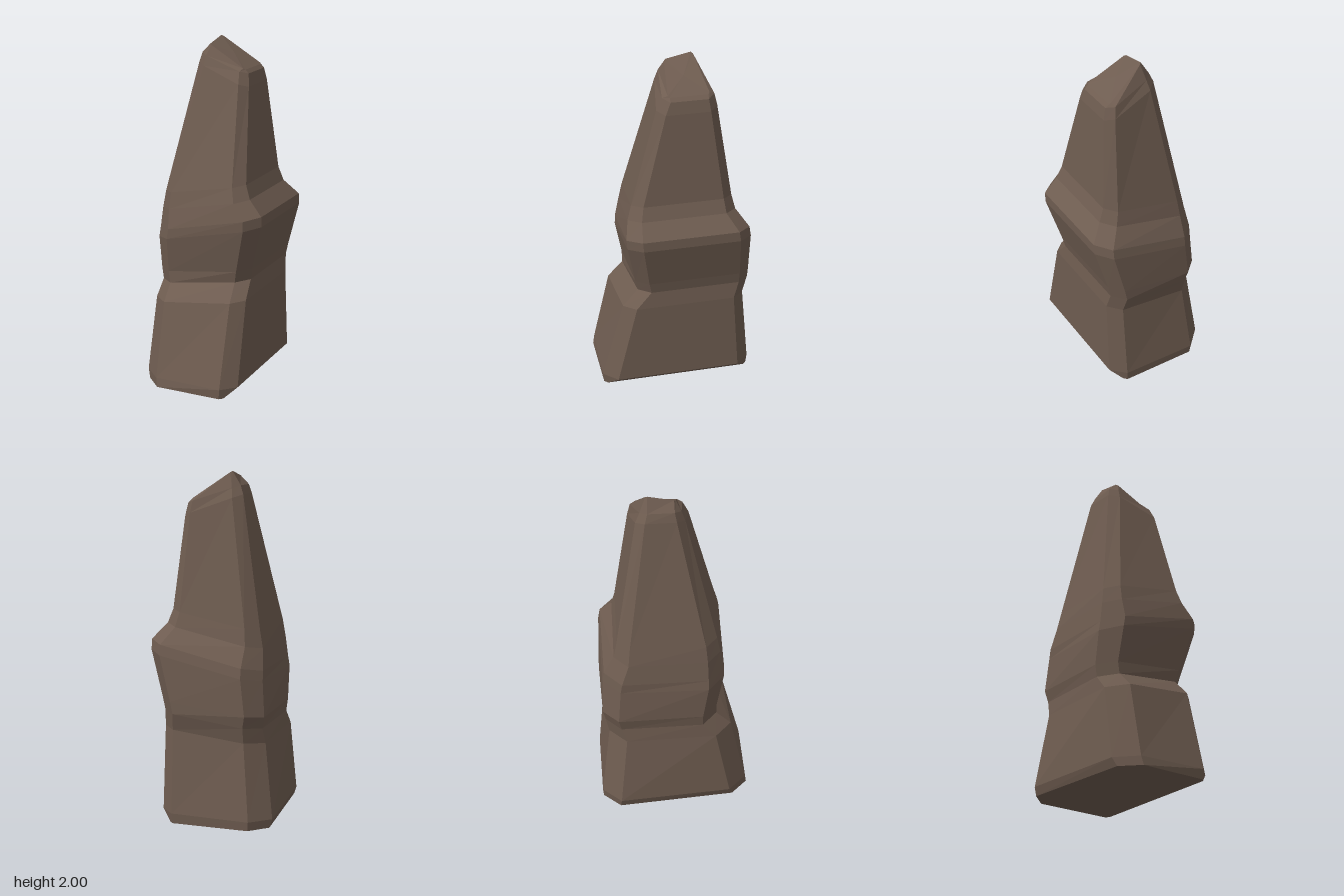
import * as THREE from 'three';

// Stacked cross-sections, each a chamfered quadrilateral tilted along x:
// [y left, y right, x left-back, x left-front, x right,
//  z back-left, z back-right, z front-left, z front-right, chamfer left, chamfer right]
const SECTIONS = [
  [0, 0, -.35, -.30, .22, -.44, -.44, .45, .45, .10, .02],
  [.05, .06, -.365, -.32, .285, -.445, -.445, .44, .455, .11, .08],
  [.48, .55, -.31, -.305, .28, -.39, -.40, .34, .325, .10, .07],
  [.57, .65, -.30, -.30, .27, -.41, -.43, .25, .235, .09, .07],
  [.64, .72, -.315, -.31, .285, -.425, -.43, .25, .25, .09, .07],
  [.84, .99, -.30, -.31, .36, -.42, -.42, .29, .305, .10, .08],
  [.90, 1.05, -.30, -.30, .36, -.41, -.41, .29, .31, .10, .08],
  [1.02, 1.14, -.285, -.285, .285, -.35, -.34, .265, .29, .08, .07],
  [1.12, 1.22, -.265, -.27, .255, -.33, -.32, .245, .265, .07, .06],
  [1.87, 1.75, -.13, -.125, .205, -.205, -.235, .07, .11, .05, .045],
  [1.92, 1.82, -.11, -.11, .19, -.18, -.22, .05, .075, .04, .04],
  [2.0, 1.84, -.06, -.06, .17, -.145, -.19, .02, .045, .01, .01],
];

// Eight points of one section, counter-clockwise seen from above
function ring([yL, yR, xb, xf, xr, zbl, zbr, zfl, zfr, cl, cr]) {
  const xl = Math.min(xb, xf);
  return [
    [xf + cl, zfl], [xr - cr, zfr], [xr, zfr - cr], [xr, zbr + cr],
    [xr - cr, zbr], [xb + cl, zbl], [xb, zbl + cl], [xf, zfl - cl],
  ].map(([x, z]) => new THREE.Vector3(x, yL + (yR - yL) * (x - xl) / (xr - xl), z));
}

function rockGeometry() {
  const rings = SECTIONS.map(ring);
  const top = rings[rings.length - 1];
  // The peak dips slightly towards the front
  for (const p of top) if (p.x < 0 && p.z > 0) p.y -= .03;

  const points = rings.flat();
  const index = [];
  const n = 8;
  for (let j = 0; j < rings.length - 1; j++) {
    for (let i = 0; i < n; i++) {
      const a = j * n + i, b = j * n + (i + 1) % n;
      index.push(a, b, b + n, a, b + n, a + n);
    }
  }

  // Caps: a fan around the middle of the first and last section
  const cap = (loop, start, flip) => {
    const centre = new THREE.Vector3();
    loop.forEach((p) => centre.addScaledVector(p, 1 / n));
    const c = points.push(centre) - 1;
    for (let i = 0; i < n; i++) {
      const a = start + i, b = start + (i + 1) % n;
      index.push(c, ...(flip ? [b, a] : [a, b]));
    }
  };
  cap(rings[0], 0, true);
  cap(top, (rings.length - 1) * n, false);

  const geometry = new THREE.BufferGeometry().setFromPoints(points);
  geometry.setIndex(index);
  const flat = geometry.toNonIndexed();
  flat.computeVertexNormals();
  return flat;
}

export function createModel() {
  const group = new THREE.Group();
  group.name = 'rockPillar';
  const material = new THREE.MeshStandardMaterial({ color: 0x6e5c50, flatShading: true });
  const rock = new THREE.Mesh(rockGeometry(), material);
  rock.name = 'rock';
  group.add(rock);
  return group;
}
